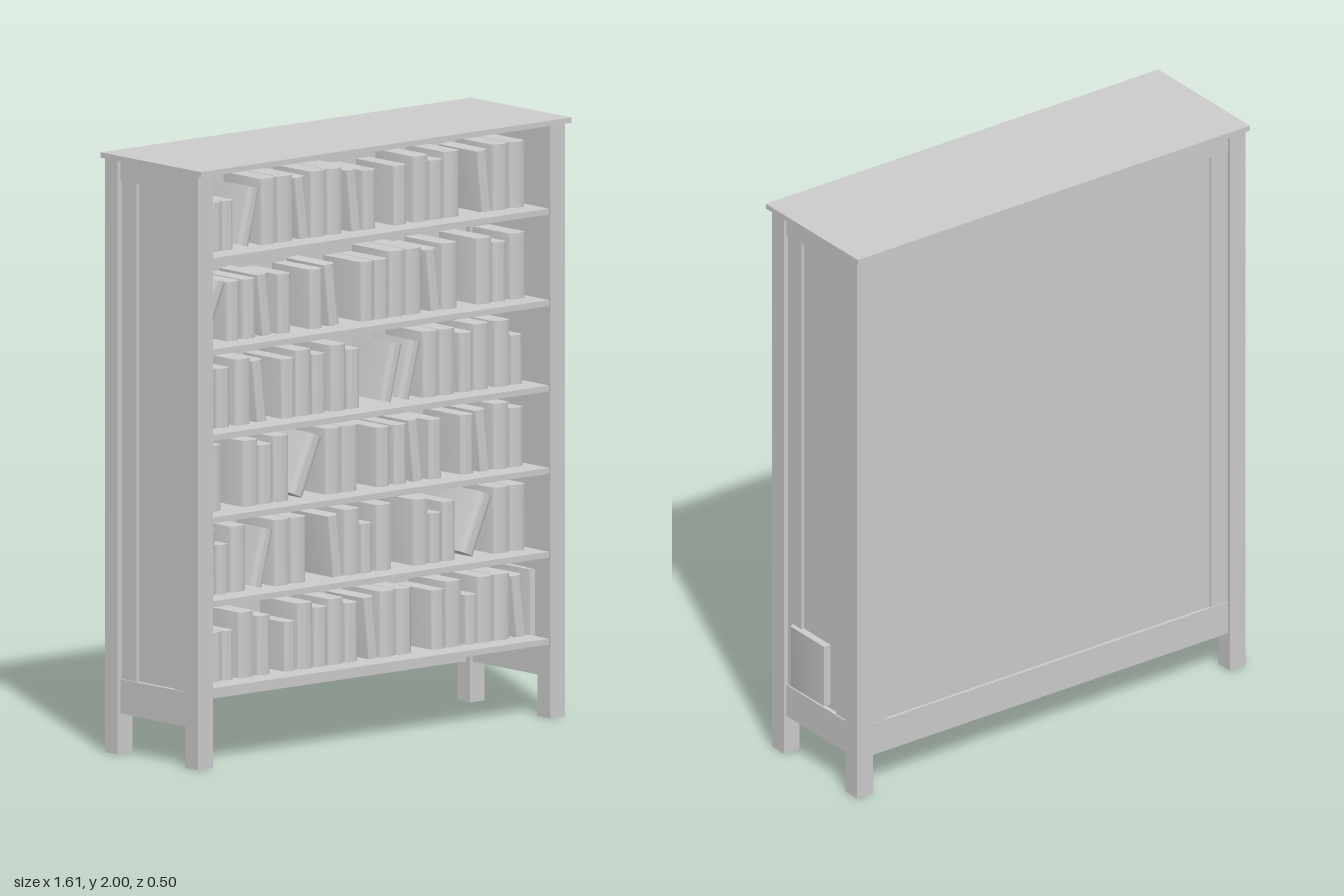
import * as THREE from 'three';
import { toCreasedNormals } from 'three/addons/utils/BufferGeometryUtils.js';

const material = new THREE.MeshStandardMaterial({ color: 0xcccccc });

// Book kinds: Tall, Medium, Short, leaning Left, leaning Right, X leaning far right
const KINDS = {
  T: { w: 0.068, h: 0.22, lean: 0 },
  M: { w: 0.058, h: 0.198, lean: 0 },
  S: { w: 0.05, h: 0.165, lean: 0 },
  L: { w: 0.045, h: 0.207, lean: -0.11 },
  R: { w: 0.05, h: 0.195, lean: 0.25 },
  X: { w: 0.06, h: 0.21, lean: 0.41 },
};

// Each shelf: top height, then runs of touching books keyed by kind, with their left edge
const SHELVES = [
  { y: 0.265, runs: { SS: -0.664, T: -0.54, M: -0.458, S: -0.341, TMTM: -0.283, LTT: 0.003, MT: 0.3, STTL: 0.447, ' T': 0.728 } },
  { y: 0.555, runs: { TS: -0.706, T: -0.574, RTT: -0.485, LTS: -0.151, ' T': 0.061, TSM: 0.22, XTT: 0.426 } },
  { y: 0.835, runs: { T: -0.68, TMT: -0.521, X: -0.315, TT: -0.161, M: 0.061, ML: 0.135, ' M': 0.288, ' ML': 0.426, TM: 0.569 } },
  { y: 1.11, runs: { MM: -0.696, TL: -0.553, MTM: -0.352, TM: -0.14, R: 0.077, ' R': 0.156, TT: 0.262, MT: 0.421, TS: 0.574 } },
  { y: 1.395, runs: { XM: -0.733, ML: -0.521, M: -0.368, ' ML': -0.23, MMTT: -0.008, LT: 0.273, TM: 0.495, T: 0.641 } },
  { y: 1.70, runs: { M: -0.733, SS: -0.664, RTTLTT: -0.542, LM: -0.071, ' M': 0.135, TMT: 0.22, LTT: 0.495 } },
];

// Box given by its minimum and maximum along each axis
function slab(name, x0, x1, y0, y1, z0, z1) {
  const mesh = new THREE.Mesh(new THREE.BoxGeometry(x1 - x0, y1 - y0, z1 - z0), material);
  mesh.position.set((x0 + x1) / 2, (y0 + y1) / 2, (z0 + z1) / 2);
  mesh.name = name;
  return mesh;
}

// Book block with a rounded spine facing the front
function bookGeometry(w, h) {
  const back = -0.055, spine = 0.125, bulge = 0.015;
  const outline = new THREE.Shape();
  outline.moveTo(-w / 2, back);
  outline.lineTo(w / 2, back);
  outline.lineTo(w / 2, spine);
  outline.absellipse(0, spine, w / 2, bulge, 0, Math.PI, false);
  outline.closePath();
  const geometry = new THREE.ExtrudeGeometry(outline, { depth: h, bevelEnabled: false, curveSegments: 10 });
  geometry.rotateX(Math.PI / 2).translate(0, h / 2, 0);
  return toCreasedNormals(geometry, 0.6);
}

// Books standing side by side from a left edge, each resting on its lowest corner
function addRun(row, kinds, left, base) {
  let x = left;
  for (const letter of kinds.trim()) {
    const { w, h, lean } = KINDS[letter];
    const c = Math.cos(lean), s = Math.abs(Math.sin(lean));
    const extent = w * c + h * s;
    const book = new THREE.Mesh(bookGeometry(w, h), material);
    book.name = 'book';
    book.rotation.z = -lean;
    book.position.set(x + extent / 2, base + (h * c + w * s) / 2, 0);
    row.add(book);
    x += extent + 0.004;
  }
}

export function createModel() {
  const model = new THREE.Group();
  model.name = 'bookcase';
  const topY = 1.982, railY = 1.915, lowY = 0.135, lowTop = 0.25;

  model.add(slab('topBoard', -0.805, 0.805, topY, 2, -0.252, 0.252));

  // Posts and framed side panels, mirrored
  for (const s of [-1, 1]) {
    const side = new THREE.Group();
    side.name = s > 0 ? 'leftSide' : 'rightSide';
    const piece = (name, x0, x1, ...rest) =>
      side.add(slab(name, Math.min(s * x0, s * x1), Math.max(s * x0, s * x1), ...rest));
    piece('frontPost', 0.733, 0.797, 0, topY, 0.165, 0.23);
    piece('backPost', 0.733, 0.797, 0, topY, -0.238, -0.175);
    piece('sideTopRail', 0.745, 0.785, railY, topY, -0.175, 0.165);
    piece('sideBottomRail', 0.745, 0.785, lowY, lowTop, -0.175, 0.165);
    piece('sideFrontStile', 0.745, 0.78, lowTop, railY, 0.09, 0.165);
    piece('sideBackStile', 0.745, 0.78, lowTop, railY, -0.175, -0.1);
    piece('sidePanel', 0.752, 0.77, lowTop, railY, -0.1, 0.09);
    piece('backStile', 0.665, 0.733, lowTop, railY, -0.225, -0.195);
    model.add(side);
  }

  // Framed back
  model.add(slab('backTopRail', -0.733, 0.733, railY, topY, -0.228, -0.195));
  model.add(slab('backBottomRail', -0.733, 0.733, lowY, lowTop, -0.228, -0.195));
  model.add(slab('backPanel', -0.665, 0.665, lowTop, railY, -0.217, -0.203));

  // Shelves with their books
  for (const { y, runs } of SHELVES) {
    model.add(slab('shelf', -0.735, 0.735, y - 0.02, y, -0.2, 0.222));
    const row = new THREE.Group();
    row.name = 'bookRow';
    for (const [kinds, left] of Object.entries(runs)) addRun(row, kinds, left, y);
    model.add(row);
  }
  return model;
}
